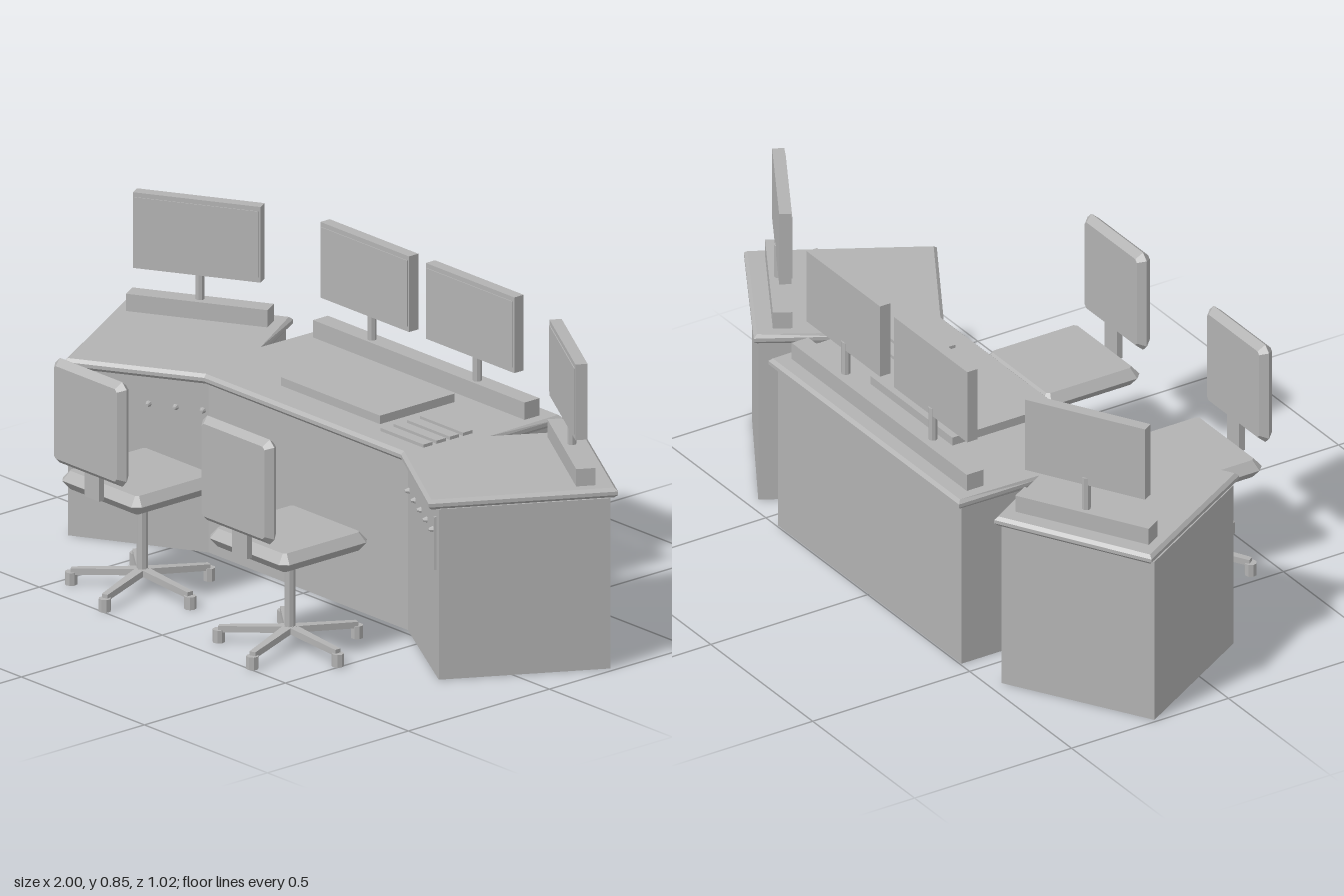
import * as THREE from 'three';

const grey = new THREE.MeshStandardMaterial({ color: 0xb2b2b2, flatShading: true });
grey.name = 'plain grey';

function add(parent, name, geometry, x = 0, y = 0, z = 0) {
  const mesh = new THREE.Mesh(geometry, grey);
  mesh.name = name;
  mesh.position.set(x, y, z);
  parent.add(mesh);
  return mesh;
}

function box(parent, name, w, h, d, x, y, z) {
  return add(parent, name, new THREE.BoxGeometry(w, h, d), x, y, z);
}

function makeGroup(parent, name, x = 0, z = 0, angle = 0) {
  const group = new THREE.Group();
  group.name = name;
  group.position.set(x, 0, z);
  group.rotation.y = angle;
  parent.add(group);
  return group;
}

// Mirrored plan outline from the [x, z] points of its +x half, front to back
function planShape(half) {
  const right = half.map(([x, z]) => new THREE.Vector2(x, -z));
  const left = half.map(([x, z]) => new THREE.Vector2(-x, -z)).reverse();
  return new THREE.Shape([...right, ...left]);
}

// Slab lying flat, with its bottom at y = 0 and an edge chamfered above and below
function slab(shape, height, bevelSize, bevelThickness) {
  const geometry = new THREE.ExtrudeGeometry(shape, {
    depth: height - 2 * bevelThickness, bevelEnabled: bevelSize > 0,
    bevelSize, bevelThickness, bevelOffset: -bevelSize, bevelSegments: 1,
  });
  return geometry.translate(0, 0, bevelThickness).rotateX(-Math.PI / 2);
}

// Rectangle with cut corners, for cushions
function cutRect(w, h, c) {
  const a = w / 2, b = h / 2;
  return planShape([[a - c, b], [a, b - c], [a, c - b], [a - c, -b]]);
}

// Screen with its stand; local +z is the viewing side
function monitor(parent, x, z) {
  const unit = makeGroup(parent, 'monitor', x, z);
  box(unit, 'monitorCase', 0.36, 0.215, 0.033, 0, 0.7425, 0);
  box(unit, 'screen', 0.35, 0.187, 0.004, 0, 0.7435, 0.017);
  add(unit, 'monitorPole', new THREE.CylinderGeometry(0.0125, 0.0125, 0.1, 8), 0, 0.607, -0.009);
}

function desk(parent) {
  const group = makeGroup(parent, 'desk', -0.003);
  const base = [[0.405, -0.02], [0.753, 0.174], [0.988, -0.23], [0.597, -0.463], [0.45, -0.209], [0.45, -0.496]];
  const top = [[0.4, 0], [0.742, 0.2], [1, -0.247], [0.59, -0.482], [0.468, -0.27], [0.468, -0.515]];
  add(group, 'deskBase', slab(planShape(base), 0.484, 0, 0));
  add(group, 'deskTop', slab(planShape(top), 0.028, 0.009, 0.009), 0, 0.483, 0);

  // Raised shelf and two monitors at the centre
  box(group, 'centreShelf', 0.86, 0.05, 0.053, 0, 0.535, -0.439);
  for (const side of [-1, 1]) monitor(group, side * 0.214, -0.424);

  // Work plate and row of flat keys
  box(group, 'workPlate', 0.403, 0.025, 0.264, 0, 0.5225, -0.231);
  for (let i = 0; i < 4; i++) {
    box(group, 'key', 0.175, 0.01, 0.033, 0.33, 0.515, -0.222 + i * 0.047);
  }

  // Angled wings
  for (const side of [-1, 1]) {
    const wing = makeGroup(group, side > 0 ? 'leftWing' : 'rightWing', side * 0.755, -0.295, -side * Math.PI / 6);
    box(wing, 'wingShelf', 0.4, 0.05, 0.053, 0, 0.535, 0);
    monitor(wing, 0, 0.008);

    // Knobs and a pull strip along the wing front
    const angle = -side * Math.atan2(0.194, 0.348);
    const front = makeGroup(group, 'wingFront', side * 0.405, -0.02, angle);
    for (let i = 0; i < 5; i++) {
      const knob = new THREE.CylinderGeometry(0.004, 0.009, 0.012, 8).rotateX(Math.PI / 2);
      add(front, 'knob', knob, side * (0.016 + i * 0.077), 0.402, 0.006);
    }
    box(front, 'pullStrip', 0.008, 0.15, 0.008, side * 0.366, 0.377, 0.003);
  }
}

function chair(parent, x) {
  const group = makeGroup(parent, 'chair', x, 0.305);

  // Cushions with pointed edges
  add(group, 'seat', slab(cutRect(0.32, 0.312, 0.02), 0.052, 0.021, 0.0255), 0, 0.283, 0.005);
  const back = slab(cutRect(0.29, 0.297, 0.018), 0.041, 0.017, 0.02).rotateX(Math.PI / 2);
  add(group, 'backrest', back, 0, 0.5185, 0.161);
  box(group, 'backBracket', 0.06, 0.12, 0.018, 0, 0.36, 0.17);
  add(group, 'column', new THREE.CylinderGeometry(0.015, 0.015, 0.25, 8), 0, 0.165, 0);

  // Five sloping legs, narrower at the tip, each on a caster
  for (let i = 0; i < 5; i++) {
    const arm = makeGroup(group, 'chairLeg', 0, 0, i * Math.PI * 0.4);
    const leg = new THREE.BoxGeometry(0.195, 0.018, 0.028).translate(0.0975, 0.054, 0);
    const p = leg.attributes.position;
    for (let v = 0; v < p.count; v++) {
      const t = p.getX(v) / 0.195;
      p.setY(v, p.getY(v) - 0.016 * t);
      p.setZ(v, p.getZ(v) * (1 - 0.35 * t));
    }
    add(arm, 'legBar', leg);
    add(arm, 'caster', new THREE.CylinderGeometry(0.017, 0.017, 0.036, 8), 0.195, 0.018, 0);
  }
}

export function createModel() {
  const model = new THREE.Group();
  model.name = 'controlDeskWithChairs';
  desk(model);
  for (const x of [-0.305, 0.295]) chair(model, x);
  return model;
}
